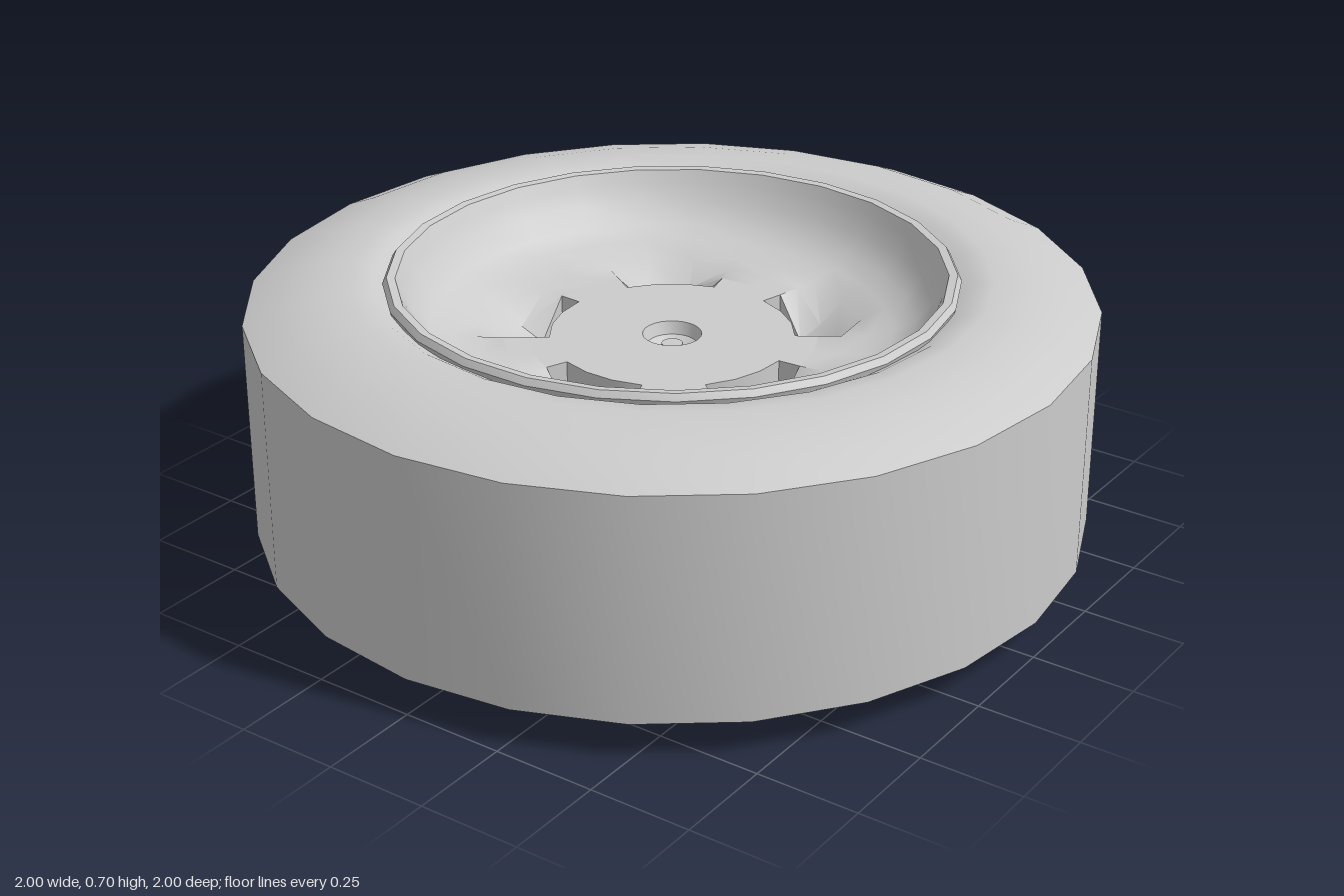
import * as THREE from 'three';
import { toCreasedNormals } from 'three/addons/utils/BufferGeometryUtils.js';

const TAU = Math.PI * 2;
const STEP = TAU / 25; // rim facet angle: five facets per slot-and-spoke unit
const material = new THREE.MeshStandardMaterial({ color: 0xcccccc, side: THREE.DoubleSide });

// Revolve a [radius, height] profile about the vertical axis
function revolve(profile, segments, start = 0, length = TAU) {
  const points = profile.map(([r, y]) => new THREE.Vector2(r, y));
  return new THREE.LatheGeometry(points, segments, start, length);
}

function addPart(parent, name, geometry, crease = 0.8) {
  const mesh = new THREE.Mesh(toCreasedNormals(geometry, crease), material);
  mesh.name = name;
  parent.add(mesh);
  return mesh;
}

// Press the inner edge of the dish down in the middle of each slot
function dentDish(geometry) {
  const pos = geometry.attributes.position;
  for (let i = 0; i < pos.count; i++) {
    const x = pos.getX(i), y = pos.getY(i), z = pos.getZ(i);
    const r = Math.hypot(x, z);
    const unit = TAU / 5;
    const a = Math.atan2(x, z);
    const offset = Math.abs(a - Math.round(a / unit) * unit);
    if (y > 0.4 && r < 0.48 && offset < STEP) {
      pos.setY(i, y - 0.09 * Math.min(1, (0.48 - r) / 0.12));
    }
  }
  return geometry;
}

export function createModel() {
  const wheel = new THREE.Group();
  wheel.name = 'wheel';

  // Tyre: straight tread with rounded shoulders
  addPart(wheel, 'tyre', revolve([
    [0.64, 0.04], [0.68, 0.012], [0.75, 0.006], [0.83, 0.022], [0.92, 0.052], [1, 0.09],
    [1, 0.635], [0.92, 0.67], [0.84, 0.69], [0.75, 0.701], [0.7, 0.695], [0.64, 0.66],
  ], 24), 1.0);

  // Rim: lips, stepped barrel and the dished face up to the slots
  addPart(wheel, 'rim', dentDish(revolve([
    [0.345, 0.45], [0.42, 0.44], [0.46, 0.4], [0.475, 0.3], [0.53, 0.25], [0.545, 0.18],
    [0.59, 0.15], [0.61, 0.07], [0.63, 0.025], [0.645, 0.002], [0.665, 0], [0.675, 0.015],
    [0.66, 0.06], [0.66, 0.645], [0.675, 0.69], [0.665, 0.705], [0.645, 0.703],
    [0.632, 0.675], [0.61, 0.63], [0.57, 0.585], [0.52, 0.56], [0.46, 0.547],
    [0.4, 0.542], [0.345, 0.54], [0.345, 0.45],
  ], 25, STEP / 2)));

  // Hub: flat disc with a centre recess above and a hollow boss below
  addPart(wheel, 'hub', revolve([
    [0, 0.3], [0.055, 0.3], [0.06, 0.22], [0.085, 0.22], [0.1, 0.25], [0.1, 0.31],
    [0.09, 0.34], [0.09, 0.44], [0.29, 0.45], [0.29, 0.54], [0.07, 0.54],
    [0.06, 0.51], [0.03, 0.495], [0.025, 0.515], [0, 0.515],
  ], 25, STEP / 2), 0.7);

  // Spokes: five short bridges between the slots
  for (let i = 0; i < 5; i++) {
    const start = (i * 5 + 1.5) * STEP;
    const spoke = new THREE.Group();
    spoke.name = 'spoke';
    addPart(spoke, 'spokeBridge', revolve([
      [0.285, 0.45], [0.35, 0.45], [0.35, 0.54], [0.285, 0.54], [0.285, 0.45],
    ], 2, start, 2 * STEP));
    // Side walls of the slots
    for (const a of [start, start + 2 * STEP]) {
      const wall = addPart(spoke, 'slotWall', new THREE.PlaneGeometry(0.065, 0.09));
      wall.position.set(0.3175 * Math.sin(a), 0.495, 0.3175 * Math.cos(a));
      wall.rotation.y = a - Math.PI / 2;
    }
    wheel.add(spoke);
  }
  return wheel;
}
